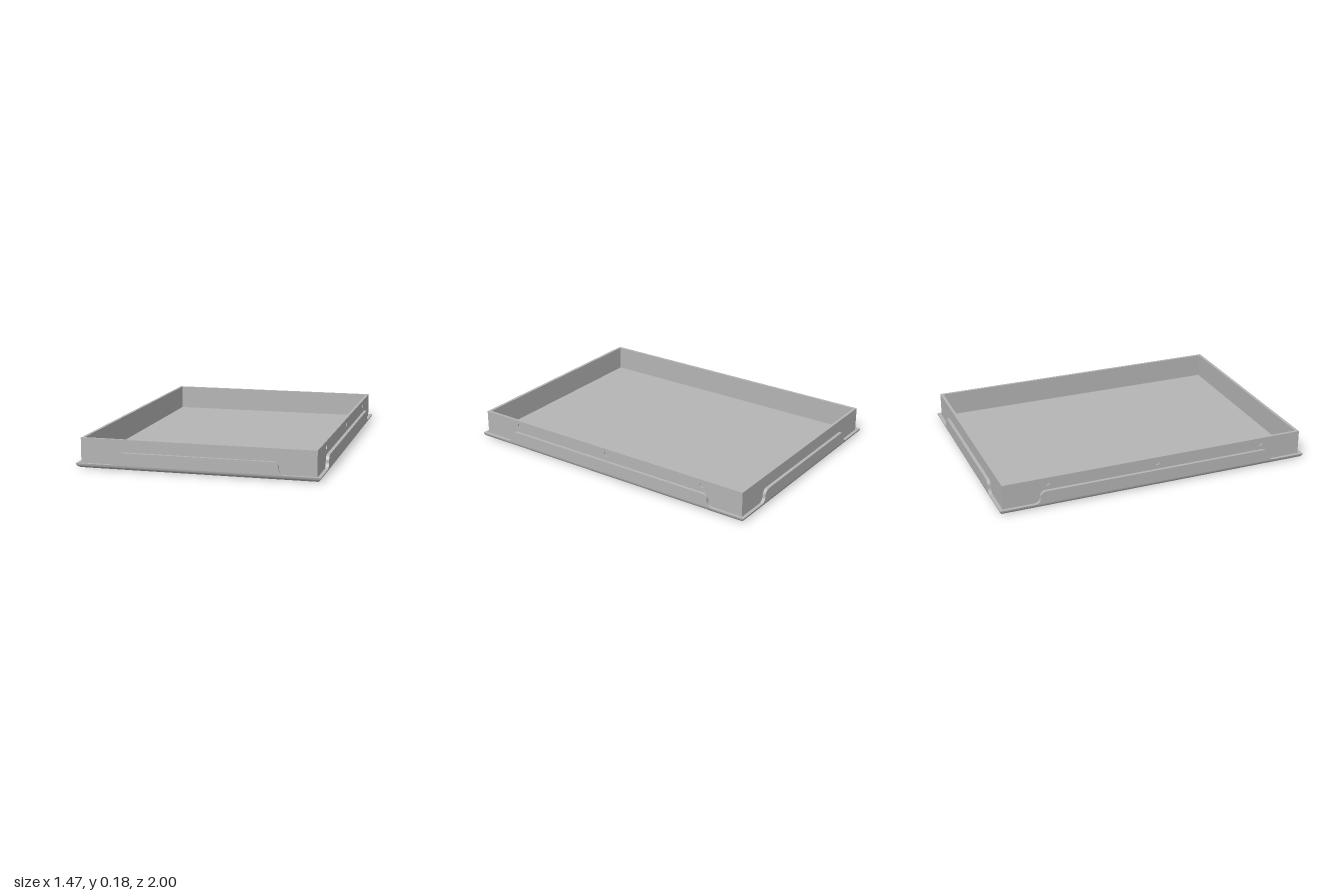
import * as THREE from 'three';
import { toCreasedNormals } from 'three/addons/utils/BufferGeometryUtils.js';

const HX = 0.735, HZ = 1;          // half size of the pan
const BX = 0.71, BZ = 0.976;       // half size of the walled box
const FLOOR = 0.025, LIP = 0.03, TAB_TOP = 0.106, RIM = 0.18;
const SHEET = 0.02, SKIN = 0.009;  // tab thickness, one wall layer

// Base pan: rectangular rings following a bent-sheet profile of [inset, y]
function panGeometry() {
  const profile = [], bend = 0.035, steps = 10;
  for (let i = 0; i <= steps; i++) {
    const a = (i / steps) * Math.PI / 2;
    profile.push([bend * (1 - Math.sin(a)), LIP * (1 - Math.cos(a))]);
  }
  profile.push([SHEET, LIP], [SHEET, FLOOR]);
  const corners = [[1, 1], [1, -1], [-1, -1], [-1, 1]];
  const pos = [], idx = [];
  for (const [inset, y] of profile)
    for (const [sx, sz] of corners) pos.push(sx * (HX - inset), y, sz * (HZ - inset));
  for (let i = 0; i < profile.length - 1; i++)
    for (let j = 0; j < 4; j++) {
      const k = (j + 1) % 4, a = i * 4 + j, b = i * 4 + k;
      idx.push(a, b, b + 4, a, b + 4, a + 4);
    }
  const t = (profile.length - 1) * 4;
  idx.push(0, 3, 2, 0, 2, 1, t, t + 1, t + 2, t, t + 2, t + 3);
  const g = new THREE.BufferGeometry();
  g.setAttribute('position', new THREE.Float32BufferAttribute(pos, 3));
  g.setIndex(idx);
  return toCreasedNormals(g, 0.5);
}

// Raised tab with S-shaped ends; w is half the width between the upright parts
function tabGeometry(w) {
  const r = 0.036, s = new THREE.Shape();
  s.moveTo(-w - r, LIP);
  s.lineTo(w + r, LIP);
  s.absarc(w + r, LIP + r, r, -Math.PI / 2, -Math.PI, true);
  s.lineTo(w, TAB_TOP - r);
  s.absarc(w - r, TAB_TOP - r, r, 0, Math.PI / 2, false);
  s.lineTo(-w + r, TAB_TOP);
  s.absarc(-w + r, TAB_TOP - r, r, Math.PI / 2, Math.PI, false);
  s.lineTo(-w, LIP + r);
  s.absarc(-w - r, LIP + r, r, 0, -Math.PI / 2, true);
  const g = new THREE.ExtrudeGeometry(s, { depth: SHEET, bevelEnabled: false, curveSegments: 10 });
  return toCreasedNormals(g, 0.6);
}

// Outer wall layer with round holes
function skinGeometry(half, holes) {
  const s = new THREE.Shape();
  s.moveTo(-half, SHEET);
  s.lineTo(half, SHEET);
  s.lineTo(half, RIM);
  s.lineTo(-half, RIM);
  s.closePath();
  for (const x of holes) {
    const h = new THREE.Path();
    h.absarc(x, 0.145, 0.016, 0, Math.PI * 2, true);
    s.holes.push(h);
  }
  const g = new THREE.ExtrudeGeometry(s, { depth: SKIN, bevelEnabled: false, curveSegments: 20 });
  return toCreasedNormals(g, 0.6);
}

export function createModel() {
  const steel = new THREE.MeshStandardMaterial({ color: 0xb4b4b4 });
  steel.name = 'grey steel';
  const model = new THREE.Group();
  model.name = 'tray';
  const add = (parent, name, geometry, x = 0, y = 0, z = 0) => {
    const mesh = new THREE.Mesh(geometry, steel);
    mesh.name = name;
    mesh.position.set(x, y, z);
    parent.add(mesh);
  };

  add(model, 'basePan', panGeometry());

  // Four sides, each built facing +z and turned into place
  ['front', 'left', 'back', 'right'].forEach((name, i) => {
    const end = i % 2 === 0;
    const side = new THREE.Group();
    side.name = name + 'Side';
    side.rotation.y = i * Math.PI / 2;
    const half = end ? BX : BZ - 2 * SKIN;
    const face = end ? BZ : BX, edge = end ? HZ : HX;
    const height = RIM - SHEET;
    add(side, 'outerWall', skinGeometry(half, end ? [] : [-0.7, 0, 0.7]), 0, 0, face - SKIN);
    add(side, 'innerWall', new THREE.BoxGeometry(half * 2, height, SKIN),
      0, SHEET + height / 2, face - SKIN * 1.5);
    add(side, 'tab', tabGeometry(end ? 0.49 : 0.75), 0, 0, edge - SHEET);
    model.add(side);
  });
  return model;
}
